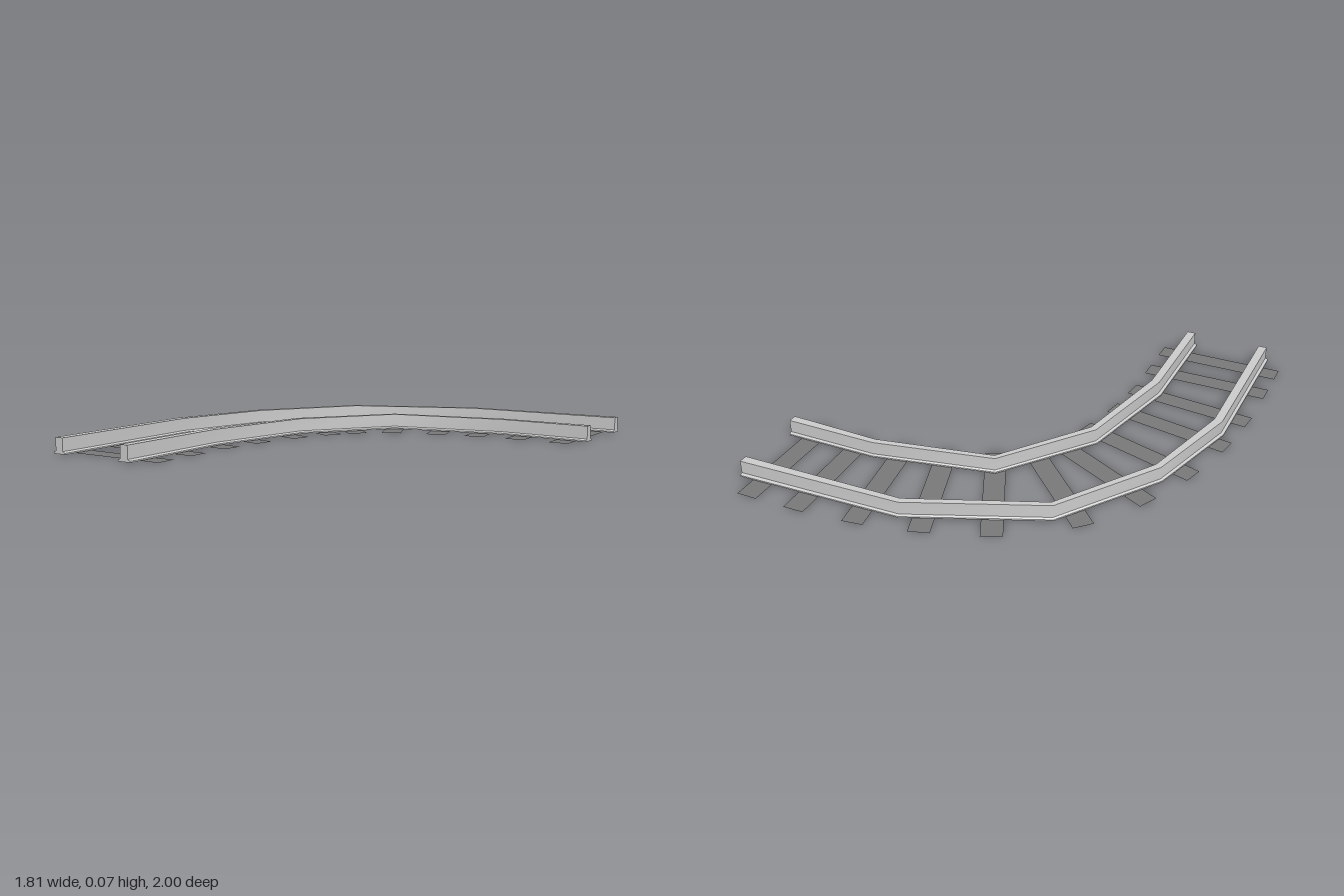
import * as THREE from 'three';

const railMat = new THREE.MeshStandardMaterial({ color: 0xcccccc, side: THREE.DoubleSide });
const sleeperMat = new THREE.MeshStandardMaterial({ color: 0x787878, side: THREE.DoubleSide });

// Rail cross-section (across, up), counter-clockwise: wide foot below a straight body
const PROFILE = [
  [-0.033, 0.004], [0.033, 0.004], [0.033, 0.01], [0.02, 0.016],
  [0.02, 0.073], [-0.02, 0.073], [-0.02, 0.016], [-0.033, 0.01],
];

// Sweep the cross-section along [x, z, widthScale] points; smooth along, sharp across
function railGeometry(path) {
  const pts = path.map(([x, z]) => new THREE.Vector3(x, 0, z));
  const up = new THREE.Vector3(0, 1, 0);
  const last = pts.length - 1;
  const rings = pts.map((p, i) => {
    const t = new THREE.Vector3(0, 0, -1);
    if (i === last) t.set(1, 0, 0);
    else if (i > 0) {
      t.subVectors(p, pts[i - 1]).normalize();
      t.add(pts[i + 1].clone().sub(p).normalize()).normalize();
    }
    const across = t.cross(up);
    return PROFILE.map(([u, v]) => p.clone().addScaledVector(across, u * path[i][2]).addScaledVector(up, v));
  });

  const pos = [], index = [];
  // One strip per profile edge
  PROFILE.forEach((_, j) => {
    const k = (j + 1) % PROFILE.length;
    const base = pos.length / 3;
    rings.forEach((r) => pos.push(...r[j].toArray(), ...r[k].toArray()));
    for (let i = 0; i < last; i++) {
      const a = base + i * 2;
      index.push(a, a + 2, a + 3, a, a + 3, a + 1);
    }
  });
  // End caps
  const tris = THREE.ShapeUtils.triangulateShape(PROFILE.map(([u, v]) => new THREE.Vector2(u, v)), []);
  [rings[0], rings[last]].forEach((ring, end) => {
    const base = pos.length / 3;
    ring.forEach((v) => pos.push(...v.toArray()));
    tris.forEach(([a, b, c]) => index.push(base + a, base + (end ? c : b), base + (end ? b : c)));
  });

  const g = new THREE.BufferGeometry();
  g.setAttribute('position', new THREE.Float32BufferAttribute(pos, 3));
  g.setIndex(index);
  g.computeVertexNormals();
  return g;
}

const RAILS = {
  outerRail: [
    [-0.8, 1, 1], [-0.8, 0.25, 0.95], [-0.68, -0.195, 0.75],
    [-0.39, -0.62, 0.62], [0.165, -0.85, 0.7], [0.9, -0.87, 0.97],
  ],
  innerRail: [
    [-0.437, 1, 1], [-0.437, 0.46, 0.95], [-0.33, -0.04, 0.75],
    [-0.04, -0.42, 0.62], [0.48, -0.525, 0.7], [0.9, -0.52, 0.97],
  ],
};

// Sleeper centres and headings: x, z, degrees
const SLEEPERS = [
  [-0.616, 0.88, 0], [-0.616, 0.68, 0], [-0.611, 0.435, 6.2], [-0.585, 0.217, 10.4],
  [-0.526, -0.02, 16.5], [-0.437, -0.228, 26.5], [-0.315, -0.405, 45], [-0.103, -0.556, 65.5],
  [0.13, -0.639, 73], [0.352, -0.686, 82], [0.579, -0.707, 88.7], [0.796, -0.71, 90],
];

export function createModel() {
  const model = new THREE.Group();
  model.name = 'curvedTrack';

  for (const [name, path] of Object.entries(RAILS)) {
    const rail = new THREE.Mesh(railGeometry(path), railMat);
    rail.name = name;
    model.add(rail);
  }

  // Flat sleepers lying on the ground under the rails
  const plank = new THREE.PlaneGeometry(0.58, 0.09).rotateX(-Math.PI / 2);
  const sleepers = new THREE.Group();
  sleepers.name = 'sleepers';
  SLEEPERS.forEach(([x, z, deg], i) => {
    const s = new THREE.Mesh(plank, sleeperMat);
    s.name = `sleeper${i + 1}`;
    s.position.set(x, 0, z);
    s.rotation.y = -THREE.MathUtils.degToRad(deg);
    sleepers.add(s);
  });
  model.add(sleepers);
  return model;
}
